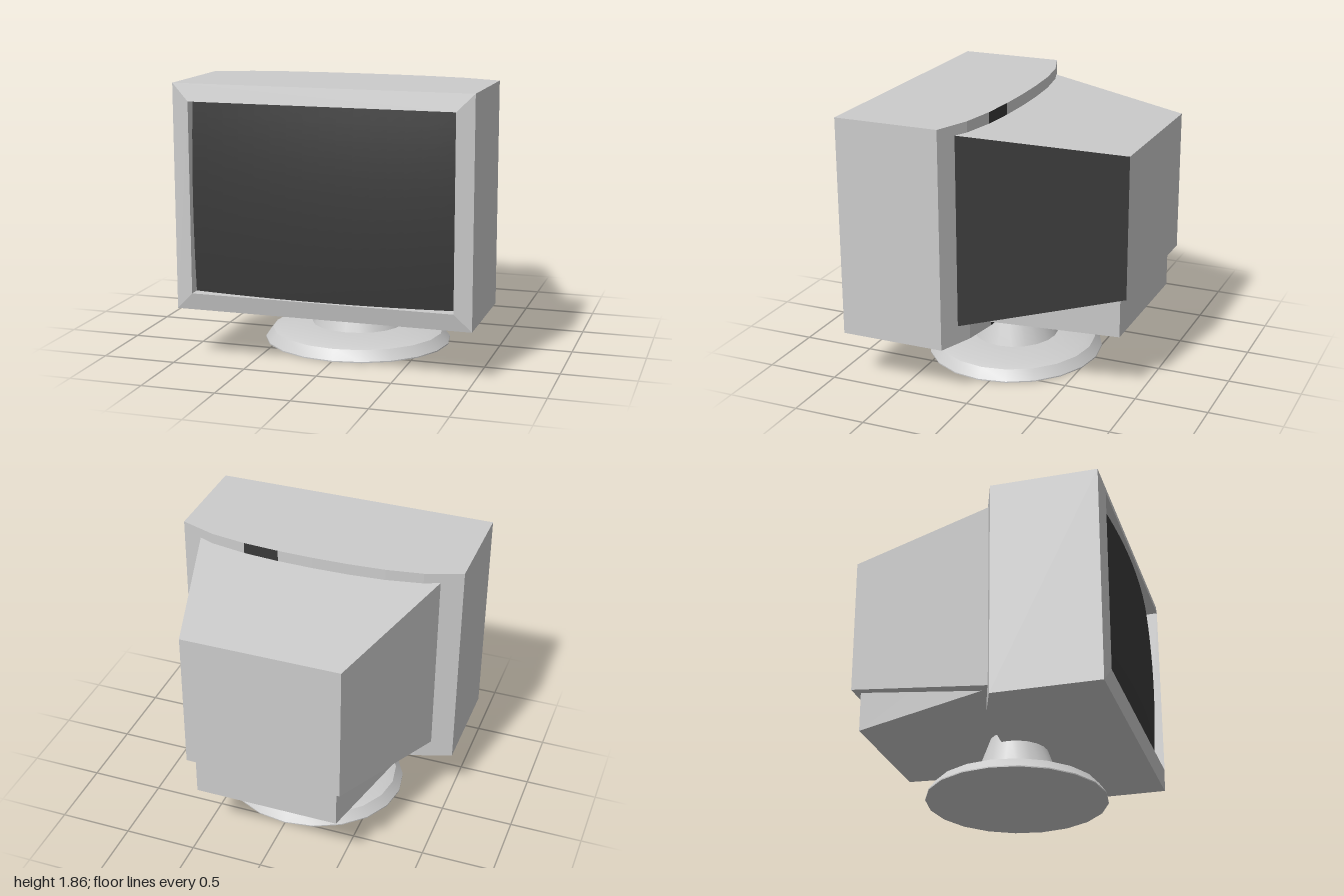
import * as THREE from 'three';
import { toCreasedNormals } from 'three/addons/utils/BufferGeometryUtils.js';

const grey = new THREE.MeshStandardMaterial({ color: 0xcccccc });
const dark = new THREE.MeshStandardMaterial({ color: 0x393939 });

// Flat-faced geometry from four-cornered faces, corners counter-clockwise
function faces(quads) {
  const pos = quads.flatMap(([a, b, c, d]) => [a, b, c, a, c, d].flat());
  const geo = new THREE.BufferGeometry();
  geo.setAttribute('position', new THREE.Float32BufferAttribute(pos, 3));
  geo.computeVertexNormals();
  return geo;
}

// Corners of an upright rectangle centred on x = 0
const rect = (hx, y0, y1, z) => [[-hx, y0, z], [hx, y0, z], [hx, y1, z], [-hx, y1, z]];

// The four faces joining two rectangles: bottom, left, top, right
const band = (a, b) => a.map((p, k) => {
  const n = (k + 1) % 4;
  return [p, b[k], b[n], a[n]];
});

const backCap = (r) => [...r].reverse();

export function createModel() {
  const group = new THREE.Group();
  const add = (name, geo, mat = grey) => {
    const mesh = new THREE.Mesh(geo, mat);
    mesh.name = name;
    group.add(mesh);
    return mesh;
  };

  // Front casing: bevelled frame, opening walls, and a body with a bowed back
  const bottom = 0.35, top = 1.855, rim = 0.905;
  const opening = rect(0.885, 0.465, 1.74, 0.93);
  const casing = [
    ...band(opening, rect(1, bottom, top, rim)),
    ...band(rect(0.885, 0.465, 1.74, 0.83), opening),
  ];
  const bow = [0.025, 0.03, 0.047, 0.087, 0.177];
  const backZ = (i) => bow[Math.abs(i)];
  for (let i = -4; i < 4; i++) {
    const x0 = i / 4, x1 = (i + 1) / 4, z0 = backZ(i), z1 = backZ(i + 1);
    casing.push([[x0, top, rim], [x1, top, rim], [x1, top, z1], [x0, top, z0]]);
    casing.push([[x0, bottom, z0], [x1, bottom, z1], [x1, bottom, rim], [x0, bottom, rim]]);
    const strip = [[x1, bottom, z1], [x0, bottom, z0], [x0, top, z0], [x1, top, z1]];
    if (i === 1) add('darkBackStrip', faces([strip]), dark);
    else casing.push(strip);
  }
  const zEnd = bow[4];
  casing.push([[1, bottom, rim], [1, bottom, zEnd], [1, top, zEnd], [1, top, rim]]);
  casing.push([[-1, bottom, zEnd], [-1, bottom, rim], [-1, top, rim], [-1, top, zEnd]]);
  add('frontCasing', faces(casing));

  // Screen: a sheet bulging gently towards the viewer
  const screen = new THREE.PlaneGeometry(1.77, 1.275, 16, 12);
  const p = screen.attributes.position;
  for (let i = 0; i < p.count; i++) {
    p.setZ(i, 0.935 - 0.0714 * (p.getX(i) ** 2 + p.getY(i) ** 2));
  }
  screen.computeVertexNormals();
  add('screen', screen, dark).position.y = 1.1025;

  // Tapered rear housing with one dark side
  const rearEnd = rect(0.54, 0.715, 1.685, -0.935);
  const [under, leftSide, upper, rightSide] = band(rect(0.855, 0.475, 1.785, 0.125), rearEnd);
  add('rearHousing', faces([under, upper, rightSide, backCap(rearEnd)]));
  add('rearHousingLeftSide', faces([leftSide]), dark);

  // Wedge-shaped block under the housing
  const blockEnd = rect(0.5, 0.425, 0.9, -0.88);
  add('lowerBlock', faces([...band(rect(0.76, 0.494, 0.9, 0.09), blockEnd), backCap(blockEnd)]));

  // Slightly oval foot and tapered neck
  const turned = (name, profile) => {
    const lathe = new THREE.LatheGeometry(profile.map(([r, y]) => new THREE.Vector2(r, y)), 20, Math.PI / 2);
    const mesh = add(name, toCreasedNormals(lathe, 0.42));
    mesh.scale.z = 0.9375;
    mesh.position.z = 0.075;
  };
  turned('standFoot', [[0, 0], [0.652, 0], [0.652, 0.008], [0.6, 0.075], [0.55, 0.092], [0.32, 0.116], [0, 0.116]]);
  turned('standNeck', [[0.32, 0.115], [0.197, 0.43], [0, 0.43]]);

  return group;
}
